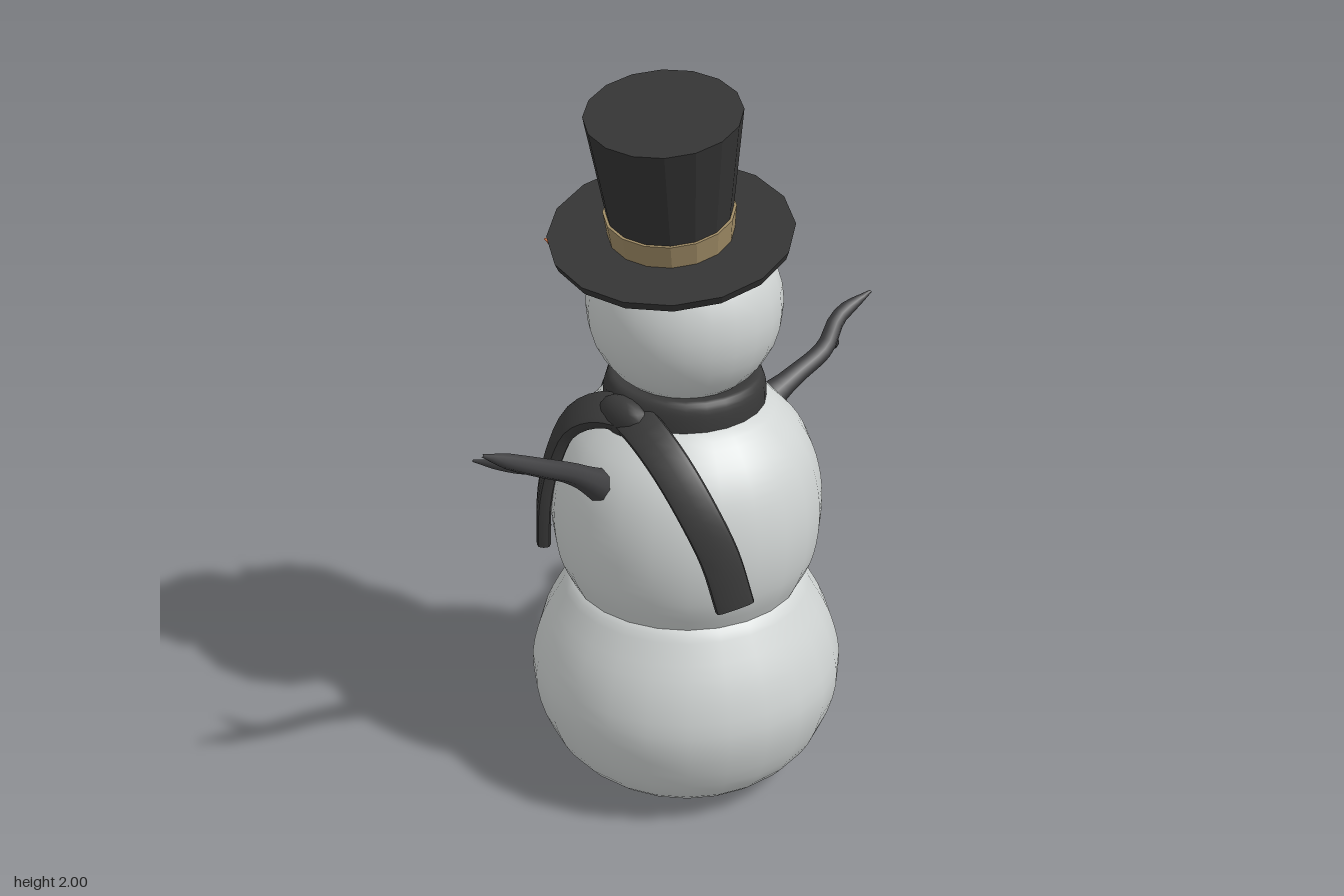
import * as THREE from 'three';
import { toCreasedNormals } from 'three/addons/utils/BufferGeometryUtils.js';

const V = (x, y, z) => new THREE.Vector3(x, y, z);
const mat = (name, color, side = THREE.FrontSide) => {
  const m = new THREE.MeshStandardMaterial({ color, side });
  m.name = name;
  return m;
};

// Smooth turned shape from a short profile of [radius, height]
function turned(profile, sides, steps) {
  const curve = new THREE.SplineCurve(profile.map(([r, y]) => new THREE.Vector2(r, y)));
  const pts = curve.getPoints(steps).map(p => p.set(Math.max(p.x, 0), p.y));
  return new THREE.LatheGeometry(pts, sides);
}

// Tube along points whose radius follows a list of radii
function taperedTube(points, radii, sides = 8, segs = 16) {
  const curve = new THREE.CatmullRomCurve3(points);
  const geo = new THREE.TubeGeometry(curve, segs, 1, sides);
  const pos = geo.attributes.position, v = V(0, 0, 0);
  for (let k = 0; k < pos.count; k++) {
    const u = Math.floor(k / (sides + 1)) / segs;
    const f = u * (radii.length - 1), i = Math.min(Math.floor(f), radii.length - 2);
    const r = THREE.MathUtils.lerp(radii[i], radii[i + 1], f - i);
    const c = curve.getPointAt(u);
    v.fromBufferAttribute(pos, k).sub(c).multiplyScalar(r).add(c);
    pos.setXYZ(k, v.x, v.y, v.z);
  }
  return geo;
}

// Thick ribbon that lies against a round body
function ribbon(points, centre, halfWidth, halfThick) {
  const curve = new THREE.CatmullRomCurve3(points), segs = 18, sides = 12;
  const verts = [], index = [];
  const round = s => Math.sign(s) * Math.sqrt(Math.abs(s));
  for (let i = 0; i <= segs; i++) {
    const p = curve.getPointAt(i / segs), t = curve.getTangentAt(i / segs);
    const n = p.clone().sub(centre);
    n.addScaledVector(t, -n.dot(t)).normalize();
    const w = n.clone().cross(t);
    for (let j = 0; j < sides; j++) {
      const a = j / sides * Math.PI * 2;
      const q = p.clone().addScaledVector(w, round(Math.cos(a)) * halfWidth)
        .addScaledVector(n, round(Math.sin(a)) * halfThick);
      verts.push(q.x, q.y, q.z);
      if (i < segs) {
        const A = i * sides + j, B = i * sides + (j + 1) % sides;
        index.push(A, B, A + sides, B, B + sides, A + sides);
      }
    }
  }
  for (let j = 1; j < sides - 1; j++) {
    const e = segs * sides;
    index.push(e, e + j, e + j + 1);
  }
  const geo = new THREE.BufferGeometry();
  geo.setAttribute('position', new THREE.Float32BufferAttribute(verts, 3));
  geo.setIndex(index);
  return toCreasedNormals(geo, 0.8);
}

export function createModel() {
  const root = new THREE.Group();
  root.name = 'snowman';
  const snow = mat('snow', 0xd0d4d3);
  const felt = mat('hat felt', 0x343434);
  const bandMat = mat('hat band', 0xa08c66);
  const carrot = mat('carrot', 0xde7a4a);
  const wool = mat('scarf wool', 0x3a3a3a, THREE.DoubleSide);
  const bark = mat('bark', 0x424244);
  const coal = mat('coal', 0x343839);
  const add = (name, geo, material, parent = root) => {
    const m = new THREE.Mesh(geo, material);
    m.name = name;
    parent.add(m);
    return m;
  };

  // Snow body
  const cx = 0.053, cz = 0.01;
  add('lowerBody', turned([[0, 0], [0.18, 0.003], [0.27, 0.03], [0.37, 0.13], [0.422, 0.29],
    [0.402, 0.43], [0.345, 0.55], [0.3, 0.61], [0.2, 0.64]], 24, 28), snow).position.set(cx, 0, cz);
  add('middleBody', turned([[0.305, 0.59], [0.345, 0.68], [0.362, 0.79], [0.355, 0.9], [0.325, 1.0],
    [0.27, 1.08], [0.19, 1.14], [0, 1.18]], 24, 24), snow).position.set(cx, 0, cz);
  add('head', new THREE.SphereGeometry(0.255, 24, 16), snow).position.set(0.045, 1.4, cz);

  // Carrot nose
  add('nose', taperedTube([V(-0.17, 1.395, 0), V(-0.24, 1.395, 0), V(-0.36, 1.392, 0.003), V(-0.48, 1.408, 0.01)],
    [0.042, 0.043, 0.036, 0.024, 0.002], 12), carrot);

  // Coal eyes, mouth and buttons
  const lump = (name, x, y, z, r) => {
    const m = add(name, new THREE.DodecahedronGeometry(r), coal);
    m.position.set(x, y, z);
    m.rotation.set(y * 9, z * 20, x * 7);
  };
  for (const s of [-1, 1]) lump('eye', -0.18, 1.463, cz + s * 0.1, 0.028);
  for (let i = -2; i <= 2; i++) {
    const z = i * 0.045, y = 1.295 + i * i * 0.009, dy = y - 1.4;
    lump('mouthCoal', 0.045 - Math.sqrt(0.255 ** 2 - dy * dy - z * z), y, cz + z, 0.021);
  }
  for (const [x, y] of [[-0.21, 1.07], [-0.275, 0.98], [-0.304, 0.89], [-0.308, 0.79], [-0.298, 0.7]])
    lump('button', x, y, 0.03, 0.027);

  // Twig arms with one side branch each
  const arm = (name, main, branch) => {
    const g = new THREE.Group();
    g.name = name;
    root.add(g);
    add('limb', taperedTube(main, [0.046, 0.032, 0.027, 0.026, 0.024, 0.02, 0.004]), bark, g);
    add('branch', taperedTube(branch, [0.02, 0.018, 0.013, 0.003]), bark, g);
  };
  arm('frontFacingArm',
    [V(0.05, 0.985, 0.32), V(0.05, 1.06, 0.42), V(0.06, 1.125, 0.53), V(0.055, 1.175, 0.62), V(0.04, 1.225, 0.71)],
    [V(0.06, 1.125, 0.53), V(0.01, 1.13, 0.58), V(-0.105, 1.115, 0.615)]);
  arm('rearFacingArm',
    [V(0.045, 0.99, -0.3), V(0.05, 1.03, -0.42), V(0.058, 1.075, -0.53), V(0.045, 1.14, -0.6), V(0.06, 1.185, -0.715)],
    [V(0.055, 1.085, -0.54), V(0.035, 1.065, -0.59), V(-0.02, 1.0, -0.66)]);

  // Scarf: neck wrap, knot and two hanging tails
  add('scarfWrap', turned([[0.16, 1.095], [0.195, 1.088], [0.211, 1.11], [0.213, 1.15], [0.208, 1.19],
    [0.19, 1.21], [0.15, 1.2]], 24, 18), wool).position.set(0.048, 0, 0.012);
  const knot = add('scarfKnot', new THREE.SphereGeometry(1, 14, 10), wool);
  knot.scale.set(0.085, 0.055, 0.045);
  knot.position.set(0.04, 1.145, 0.225);
  const centre = V(cx, 0.85, cz);
  add('scarfTailRight', ribbon([V(0.1, 1.15, 0.2), V(-0.03, 1.145, 0.24), V(-0.12, 1.085, 0.262),
    V(-0.175, 0.97, 0.275), V(-0.205, 0.84, 0.285), V(-0.225, 0.7, 0.275)], centre, 0.052, 0.02), wool);
  add('scarfTailLeft', ribbon([V(0, 1.15, 0.2), V(0.13, 1.14, 0.24), V(0.24, 1.08, 0.255),
    V(0.325, 0.975, 0.245), V(0.375, 0.86, 0.22), V(0.405, 0.72, 0.195)], centre, 0.052, 0.02), wool);

  // Tilted top hat
  const hat = new THREE.Group();
  hat.name = 'hat';
  hat.position.set(0.046, 1.605, 0.06);
  hat.quaternion.setFromUnitVectors(V(0, 1, 0), V(0.1, 1, 0.18).normalize());
  root.add(hat);
  const drum = (name, rTop, rBottom, y0, y1, material) => {
    const geo = new THREE.CylinderGeometry(rTop, rBottom, y1 - y0, 16).toNonIndexed();
    geo.computeVertexNormals();
    add(name, geo, material, hat).position.y = (y0 + y1) / 2;
  };
  drum('brim', 0.314, 0.306, -0.012, 0.012, felt);
  drum('crown', 0.197, 0.152, 0.01, 0.36, felt);
  drum('hatBand', 0.168, 0.161, 0.012, 0.078, bandMat);

  return root;
}
